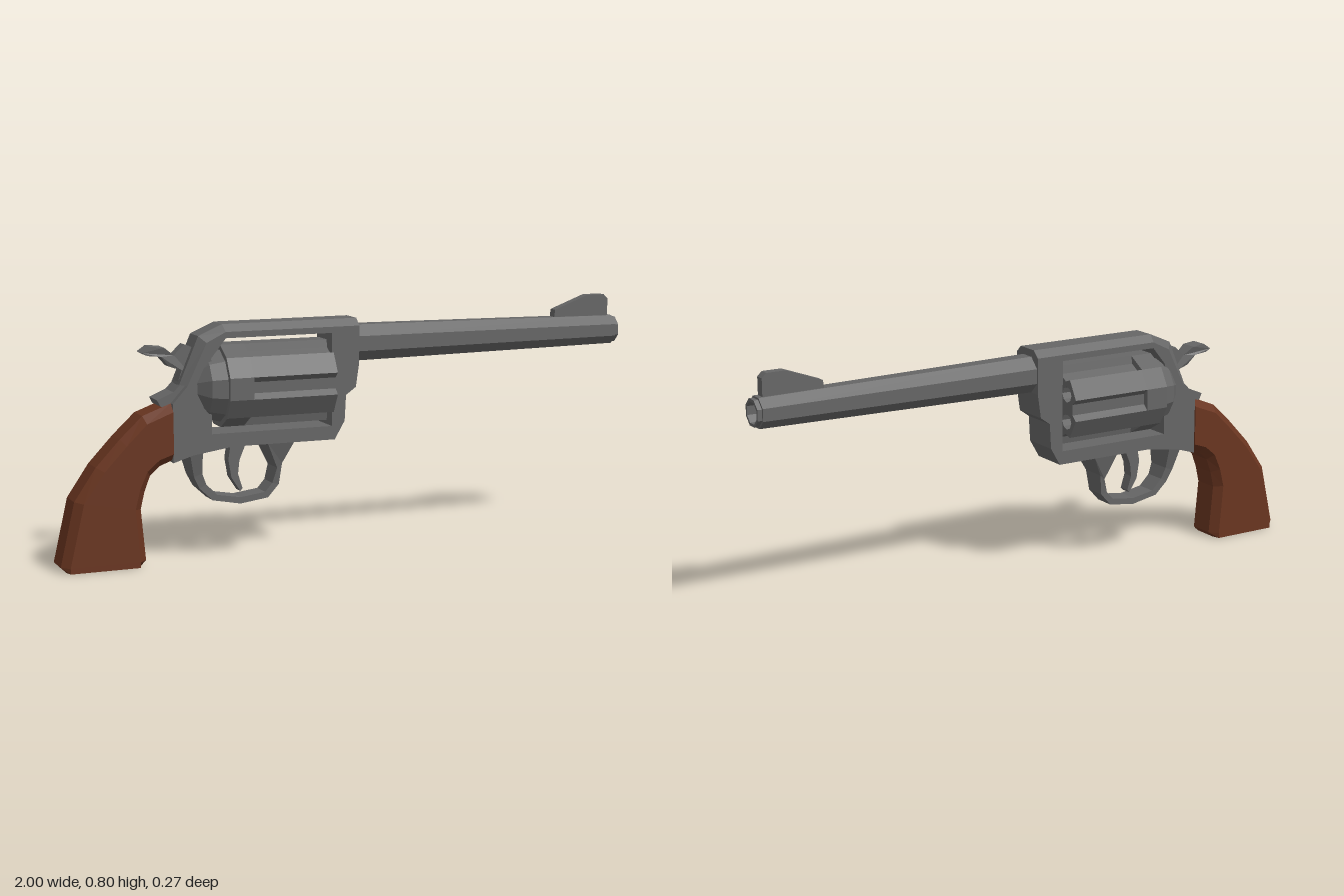
import * as THREE from 'three';

const steel = new THREE.MeshStandardMaterial({ color: 0x666666 });
steel.name = 'steel grey';
const wood = new THREE.MeshStandardMaterial({ color: 0x693520 });
wood.name = 'wood brown';

// Faceted normals for any geometry
function flat(geo) {
  const g = geo.index ? geo.toNonIndexed() : geo;
  g.computeVertexNormals();
  return g;
}

// Skin a list of equal-length point rings, capped at both ends
function loft(rings) {
  const tris = [], n = rings[0].length, last = rings.length - 1;
  for (let i = 0; i < last; i++) {
    for (let j = 0; j < n; j++) {
      const k = (j + 1) % n;
      const [a, b, c, d] = [rings[i][j], rings[i][k], rings[i + 1][k], rings[i + 1][j]];
      tris.push([a, b, c], [a, c, d]);
    }
  }
  for (let j = 1; j < n - 1; j++) {
    tris.push([rings[0][0], rings[0][j + 1], rings[0][j]]);
    tris.push([rings[last][0], rings[last][j], rings[last][j + 1]]);
  }
  // turn the skin outward if the rings run the other way
  const v = tris.map((t) => t.map((p) => new THREE.Vector3(...p)));
  const volume = v.reduce((s, [a, b, c]) => s + a.dot(b.clone().cross(c)), 0);
  if (volume < 0) tris.forEach((t) => t.reverse());
  const geo = new THREE.BufferGeometry();
  geo.setAttribute('position', new THREE.Float32BufferAttribute(tris.flat(2), 3));
  return flat(geo);
}

const shapeOf = (pts) => new THREE.Shape(pts.map((p) => new THREE.Vector2(...p)));

// Side outline given thickness across z
function plate(shape, half) {
  const geo = new THREE.ExtrudeGeometry(shape, { depth: half * 2, bevelEnabled: false });
  return geo.translate(0, 0, -half);
}

// Profile of [radius, x] turned about the x axis
function turned(profile, sides, y) {
  const geo = new THREE.LatheGeometry(profile.map((p) => new THREE.Vector2(...p)), sides, Math.PI / sides);
  return flat(geo.rotateZ(-Math.PI / 2).translate(0, y, 0));
}

// Cross-section in the yz plane pushed along x
function prismX(shape, x0, x1, y) {
  const geo = new THREE.ExtrudeGeometry(shape, { depth: x1 - x0, bevelEnabled: false, curveSegments: 4 });
  return geo.rotateY(Math.PI / 2).translate(x0, y, 0);
}

const polar = (deg, r) => [r * Math.cos(deg * Math.PI / 180), r * Math.sin(deg * Math.PI / 180)];

export function createModel() {
  const group = new THREE.Group();
  const add = (name, geo, mat = steel) => {
    const mesh = new THREE.Mesh(geo, mat);
    mesh.name = name;
    group.add(mesh);
  };

  // Frame with the cylinder window
  const frame = shapeOf([
    [-0.63, 0.33], [-0.565, 0.35], [-0.43, 0.37], [-0.075, 0.37], [-0.04, 0.43], [-0.035, 0.515],
    [0, 0.54], [0.012, 0.62], [0.012, 0.742], [-0.45, 0.742], [-0.515, 0.71], [-0.58, 0.575], [-0.63, 0.52],
  ]);
  frame.holes.push(shapeOf([[-0.5, 0.415], [-0.5, 0.66], [-0.45, 0.722], [-0.085, 0.722], [-0.085, 0.415]]));
  add('frame', plate(frame, 0.065));

  // Chamfered top strap running down the back of the frame
  const strap = [
    [0.012, 0.742, 0.012, 0.765], [-0.45, 0.742, -0.455, 0.765],
    [-0.515, 0.71, -0.535, 0.73], [-0.58, 0.575, -0.6, 0.577],
  ];
  add('topStrap', loft(strap.map(([x0, y0, x1, y1]) =>
    [[x0, y0, 0.065], [x1, y1, 0.04], [x1, y1, -0.04], [x0, y0, -0.065]])));
  add('tang', plate(shapeOf([
    [-0.675, 0.532], [-0.665, 0.512], [-0.6, 0.49], [-0.57, 0.58], [-0.597, 0.578], [-0.62, 0.555],
  ]), 0.043));

  // Cylinder: plain rear band, fluted front with chambers, rounded rear shield
  const band = [], fluted = [];
  for (let a = 0; a < 360; a += 60) {
    band.push(polar(a - 15, 0.138), polar(a + 15, 0.138));
    fluted.push(polar(a - 15, 0.138), polar(a - 9, 0.115), polar(a + 9, 0.115), polar(a + 15, 0.138));
  }
  const front = shapeOf(fluted);
  for (let a = 30; a < 360; a += 60) {
    const [x, y] = polar(a, 0.092);
    front.holes.push(new THREE.Path().absarc(x, y, 0.027, 0, Math.PI * 2, true));
  }
  add('cylinderBand', prismX(shapeOf(band), -0.46, -0.38, 0.565));
  add('cylinderFluted', prismX(front, -0.38, -0.092, 0.565));
  add('recoilShield', turned([[0, -0.555], [0.065, -0.55], [0.108, -0.51], [0.122, -0.455], [0, -0.455]], 12, 0.565));

  // Tapered octagonal barrel with a bored muzzle
  add('barrel', turned([
    [0.065, 0], [0.0525, 0.985], [0.046, 0.985], [0.046, 1], [0.037, 1], [0.034, 0.9], [0, 0.9],
  ], 8, 0.681));
  add('frontSight', plate(shapeOf([
    [0.76, 0.72], [0.97, 0.72], [0.97, 0.788], [0.955, 0.803], [0.89, 0.803], [0.765, 0.757],
  ]), 0.016));

  // Hammer, wider at the thumb spur
  const hammer = plate(shapeOf([
    [-0.718, 0.683], [-0.7, 0.673], [-0.655, 0.668], [-0.628, 0.635], [-0.585, 0.62], [-0.6, 0.575], [-0.54, 0.59],
    [-0.54, 0.69], [-0.575, 0.703], [-0.61, 0.67], [-0.645, 0.697], [-0.69, 0.702],
  ]), 0.02);
  const pos = hammer.attributes.position;
  for (let i = 0; i < pos.count; i++) if (pos.getX(i) < -0.635) pos.setZ(i, pos.getZ(i) * 1.45);
  add('hammer', flat(hammer));

  // Trigger guard: outer point, inner point, half width
  const guard = [
    [-0.575, 0.36, -0.53, 0.375, 0.063], [-0.555, 0.275, -0.527, 0.285, 0.042], [-0.535, 0.235, -0.512, 0.247, 0.037],
    [-0.49, 0.193, -0.475, 0.21, 0.037], [-0.395, 0.175, -0.395, 0.196, 0.037], [-0.3, 0.188, -0.31, 0.207, 0.037],
    [-0.262, 0.23, -0.285, 0.235, 0.037], [-0.253, 0.3, -0.27, 0.285, 0.044], [-0.215, 0.375, -0.31, 0.375, 0.063],
  ];
  add('triggerGuard', loft(guard.map(([x0, y0, x1, y1, w]) =>
    [[x0, y0, w], [x1, y1, w], [x1, y1, -w], [x0, y0, -w]])));
  add('trigger', plate(shapeOf([
    [-0.42, 0.38], [-0.43, 0.32], [-0.42, 0.26], [-0.39, 0.213], [-0.382, 0.222],
    [-0.397, 0.27], [-0.392, 0.315], [-0.365, 0.38],
  ]), 0.02));

  // Chamfered grip: back point, front point, chamfer depth along the section
  const grip = [
    [-0.63, 0.52, -0.63, 0.335], [-0.725, 0.485, -0.67, 0.32], [-0.8, 0.415, -0.703, 0.29],
    [-0.88, 0.33, -0.722, 0.24], [-0.952, 0.225, -0.735, 0.185], [-1, 0.018, -0.72, 0.018], [-0.982, 0, -0.738, 0],
  ];
  add('grip', loft(grip.map(([x0, y0, x1, y1], i) => {
    const cut = (i === grip.length - 1 ? 0.008 : 0.025) / Math.hypot(x1 - x0, y1 - y0);
    const at = (t, z) => [x0 + (x1 - x0) * t, y0 + (y1 - y0) * t, z];
    return [at(0, 0.043), at(cut, 0.07), at(1 - cut, 0.07), at(1, 0.043),
      at(1, -0.043), at(1 - cut, -0.07), at(cut, -0.07), at(0, -0.043)];
  })), wood);

  return group;
}
